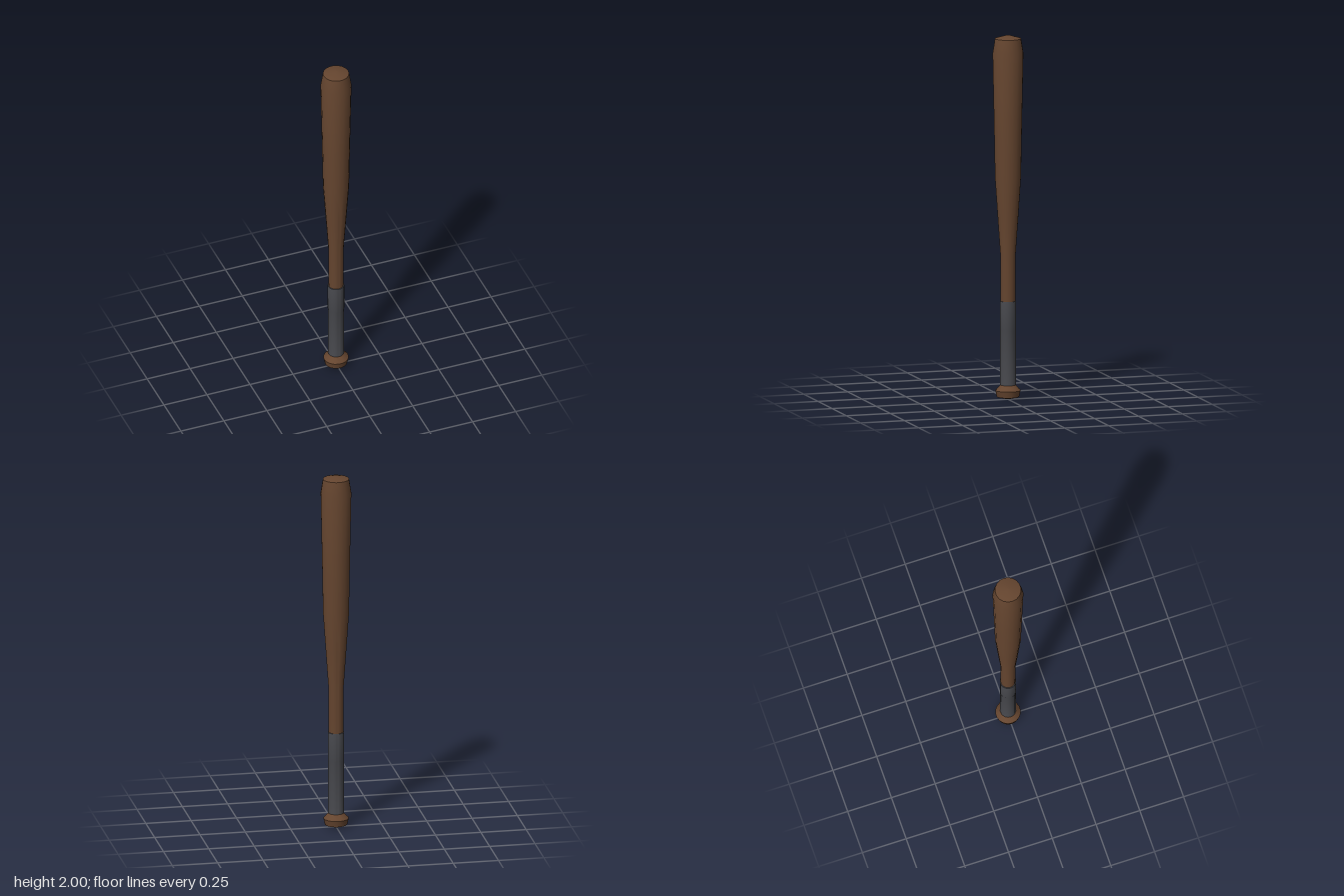
import * as THREE from 'three';
import { toCreasedNormals } from 'three/addons/utils/BufferGeometryUtils.js';

const SIDES = 18;

// Turned part from [radius, height] pairs, listed bottom to top
function turned(name, profile, material) {
  const points = profile.map(([r, y]) => new THREE.Vector2(r, y));
  const lathe = new THREE.LatheGeometry(points, SIDES, Math.PI / 2);
  const mesh = new THREE.Mesh(toCreasedNormals(lathe, Math.PI / 6), material);
  mesh.name = name;
  return mesh;
}

export function createModel() {
  const wood = new THREE.MeshStandardMaterial({ color: 0x65452f });
  wood.name = 'brown wood';
  const wrap = new THREE.MeshStandardMaterial({ color: 0x4a4b50 });
  wrap.name = 'dark grey wrap';

  const bat = new THREE.Group();
  bat.name = 'bat';

  // Rounded knob at the end of the handle
  bat.add(turned('knob', [
    [0, 0], [0.061, 0.015], [0.069, 0.05], [0.04, 0.08], [0.039, 0.1],
  ], wood));

  // Wrapped grip, slightly wider towards the top
  bat.add(turned('grip', [
    [0.038, 0.08], [0.043, 0.08], [0.043, 0.38], [0.045, 0.385], [0.045, 0.54], [0.038, 0.54],
  ], wrap));

  // Handle swelling into the barrel, with a shallow domed tip
  bat.add(turned('barrel', [
    [0.039, 0.5], [0.04, 0.54], [0.042, 0.8], [0.056, 1.0], [0.071, 1.22],
    [0.076, 1.5], [0.084, 1.9], [0.071, 1.98], [0, 2],
  ], wood));

  return bat;
}
